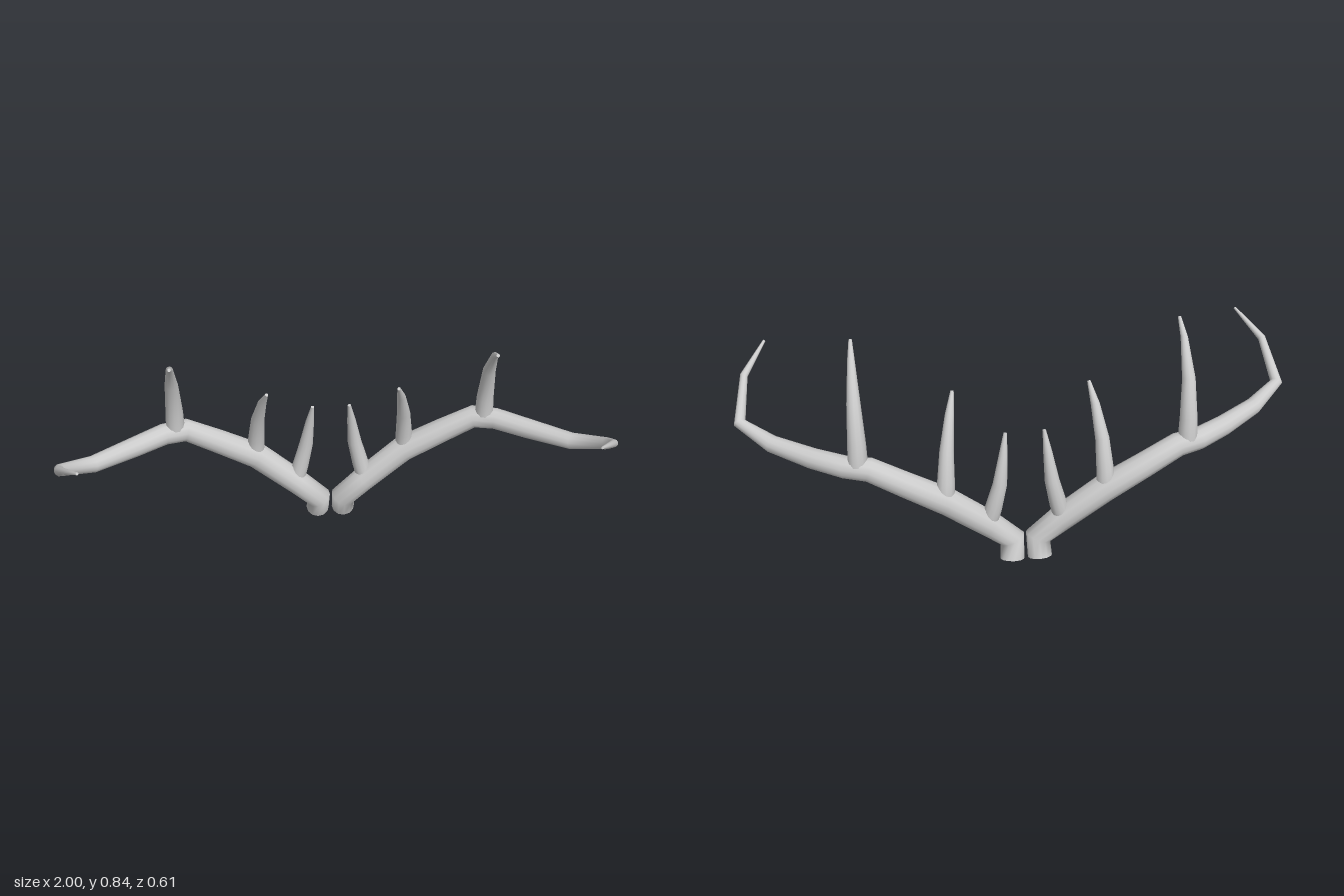
import * as THREE from 'three';

const SIDES = 12;

// Beam and tines of the left antler: [x, y, z, radius] along each centreline
const PARTS = {
  beam: [
    [0.05, 0.019, -0.266, 0.044], [0.047, 0.088, -0.238, 0.047], [0.13, 0.165, -0.243, 0.048],
    [0.28, 0.29, -0.256, 0.05], [0.42, 0.37, -0.248, 0.046], [0.54, 0.438, -0.237, 0.043],
    [0.62, 0.44, -0.213, 0.04], [0.73, 0.438, -0.142, 0.037], [0.87, 0.445, -0.042, 0.031],
    [0.978, 0.488, 0.042, 0.022], [0.955, 0.595, 0.187, 0.014], [0.878, 0.665, 0.304, 0.005],
  ],
  browTine: [
    [0.13, 0.18, -0.245, 0.031], [0.115, 0.24, -0.25, 0.031], [0.092, 0.34, -0.25, 0.026],
    [0.078, 0.45, -0.235, 0.016], [0.068, 0.53, -0.215, 0.006],
  ],
  middleTine: [
    [0.283, 0.32, -0.255, 0.033], [0.28, 0.37, -0.252, 0.031], [0.272, 0.48, -0.222, 0.025],
    [0.254, 0.59, -0.168, 0.016], [0.238, 0.657, -0.12, 0.006],
  ],
  outerTine: [
    [0.577, 0.45, -0.226, 0.035], [0.576, 0.535, -0.222, 0.032], [0.576, 0.675, -0.186, 0.024],
    [0.573, 0.792, -0.101, 0.013], [0.57, 0.835, -0.033, 0.006],
  ],
};

// Tapering limb: rings swept along a polyline, closed with flat caps
function limb(points, mirror) {
  const centres = points.map(p => new THREE.Vector3(p[0] * mirror, p[1], p[2]));
  const last = centres.length - 1;
  const positions = [], index = [];
  const side = new THREE.Vector3(0, 0, 1);
  const rings = centres.map((c, i) => {
    const tangent = new THREE.Vector3();
    if (i > 0) tangent.add(c.clone().sub(centres[i - 1]).normalize());
    if (i < last) tangent.add(centres[i + 1].clone().sub(c).normalize());
    tangent.normalize();
    side.addScaledVector(tangent, -side.dot(tangent)).normalize();
    const up = tangent.clone().cross(side);
    return Array.from({ length: SIDES }, (_, k) => {
      const a = (k / SIDES) * Math.PI * 2;
      return c.clone().addScaledVector(side, Math.cos(a) * points[i][3])
        .addScaledVector(up, Math.sin(a) * points[i][3]);
    });
  });
  rings.forEach(ring => ring.forEach(v => positions.push(v.x, v.y, v.z)));
  for (let i = 0; i < last; i++) {
    for (let k = 0; k < SIDES; k++) {
      const a = i * SIDES + k, b = i * SIDES + (k + 1) % SIDES;
      index.push(a, b, b + SIDES, a, b + SIDES, a + SIDES);
    }
  }
  // Caps use their own vertices so the rims stay crisp
  for (const end of [0, last]) {
    const start = positions.length / 3;
    rings[end].forEach(v => positions.push(v.x, v.y, v.z));
    for (let k = 1; k < SIDES - 1; k++) {
      if (end === 0) index.push(start, start + k + 1, start + k);
      else index.push(start, start + k, start + k + 1);
    }
  }
  const geometry = new THREE.BufferGeometry();
  geometry.setAttribute('position', new THREE.Float32BufferAttribute(positions, 3));
  geometry.setIndex(index);
  geometry.computeVertexNormals();
  return geometry;
}

export function createModel() {
  const model = new THREE.Group();
  model.name = 'antlers';
  const material = new THREE.MeshStandardMaterial({ color: 0xcccccc });
  for (const [name, mirror] of [['leftAntler', 1], ['rightAntler', -1]]) {
    const antler = new THREE.Group();
    antler.name = name;
    for (const [part, points] of Object.entries(PARTS)) {
      const mesh = new THREE.Mesh(limb(points, mirror), material);
      mesh.name = part;
      antler.add(mesh);
    }
    model.add(antler);
  }
  return model;
}
